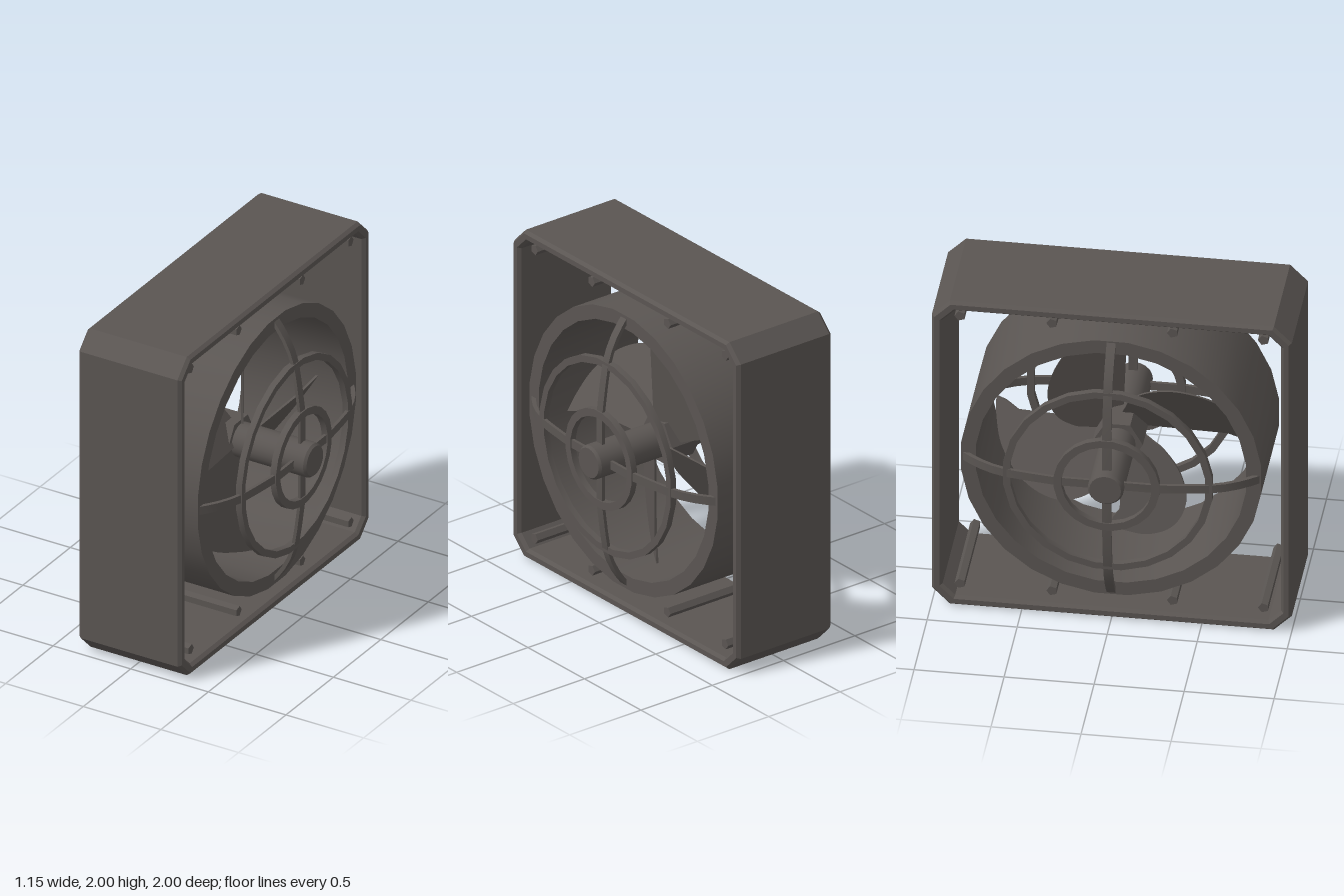
import * as THREE from 'three';
import { toCreasedNormals } from 'three/addons/utils/BufferGeometryUtils.js';

const metal = new THREE.MeshStandardMaterial({ color: 0x5a5552 });
metal.name = 'dark grey metal';

function part(name, geometry, parent) {
  const mesh = new THREE.Mesh(toCreasedNormals(geometry, 0.5), metal);
  mesh.name = name;
  parent.add(mesh);
  return mesh;
}

const points = (list) => list.map(([a, b]) => new THREE.Vector2(a, b));

// Square outline with cut corners
function cutSquare(half, cut) {
  const s = half - cut;
  return points([[s, -half], [half, -s], [half, s], [s, half], [-s, half], [-half, s], [-half, -s], [-s, -half]]);
}

// Ring of rectangular section around the fan axis (local z)
function ringGeometry(inner, outer, z0, z1, segments) {
  const profile = points([[outer, z0], [outer, z1], [inner, z1], [inner, z0], [outer, z0]]);
  return new THREE.LatheGeometry(profile, segments, Math.PI / segments).rotateX(Math.PI / 2);
}

// Arched guard bar across the full diameter
function barGeometry() {
  const half = [[0.83, 0.33], [0.78, 0.37], [0.72, 0.41], [0.65, 0.445], [0.575, 0.47], [0.45, 0.49], [0.28, 0.512]];
  const outer = [...half, ...half.map(([r, z]) => [-r, z]).reverse()];
  const inner = outer.map(([r, z]) => [r * 0.98, z - 0.018]).reverse();
  const shape = new THREE.Shape(points([...outer, ...inner]));
  return new THREE.ExtrudeGeometry(shape, { depth: 0.05, bevelEnabled: false })
    .translate(0, 0, -0.025).rotateX(Math.PI / 2);
}

// Pitched sickle-shaped fan blade
function bladeGeometry() {
  const shape = new THREE.Shape();
  shape.moveTo(0, 0.05);
  shape.lineTo(0.1, 0);
  shape.splineThru(points([[0.18, 0.03], [0.25, 0.06], [0.34, 0.15], [0.385, 0.29], [0.36, 0.43],
    [0.28, 0.56], [0.15, 0.66], [0.02, 0.7], [-0.08, 0.71]]));
  shape.lineTo(-0.06, 0.65);
  shape.lineTo(-0.02, 0.58);
  const geometry = new THREE.ExtrudeGeometry(shape, { depth: 0.015, bevelEnabled: false, curveSegments: 24 });
  const p = geometry.attributes.position;
  for (let i = 0; i < p.count; i++) p.setZ(i, p.getZ(i) + 0.1 - 0.6 * p.getX(i));
  return geometry;
}

export function createModel() {
  const model = new THREE.Group();
  model.name = 'boxFan';

  // Built facing local z, then turned so the axis runs along x
  const fan = new THREE.Group();
  fan.name = 'fanAssembly';
  fan.position.y = 1;
  fan.rotation.y = Math.PI / 2;
  model.add(fan);

  // Open box frame
  const frame = new THREE.Shape(cutSquare(1, 0.1));
  frame.holes.push(new THREE.Path(cutSquare(0.94, 0.07).reverse()));
  part('frame', new THREE.ExtrudeGeometry(frame, {
    depth: 0.62, bevelThickness: 0.02, bevelSize: 0.015, bevelOffset: -0.015, bevelSegments: 1,
  }).translate(0, 0, -0.32), fan);

  // Air duct
  part('duct', ringGeometry(0.755, 0.838, -0.348, 0.33, 28), fan);

  // Guards on both faces
  for (const side of [1, -1]) {
    const guard = new THREE.Group();
    guard.name = side > 0 ? 'leftGuard' : 'rightGuard';
    guard.position.z = -0.013;
    if (side < 0) guard.rotation.y = Math.PI;
    fan.add(guard);
    part('horizontalBar', barGeometry(), guard);
    part('verticalBar', barGeometry().rotateZ(Math.PI / 2), guard);
    part('outerGuardRing', ringGeometry(0.545, 0.585, 0.435, 0.472, 24), guard);
    part('innerGuardRing', ringGeometry(0.25, 0.295, 0.48, 0.518, 24), guard);
  }

  // Shaft with chamfered ends and hexagonal hub
  const shaft = points([[0, -0.575], [0.088, -0.575], [0.1, -0.56], [0.1, 0.56], [0.088, 0.575], [0, 0.575]]);
  part('shaft', new THREE.LatheGeometry(shaft, 20).rotateX(Math.PI / 2), fan);
  part('hub', new THREE.CylinderGeometry(0.14, 0.14, 0.2, 6).rotateX(Math.PI / 2).rotateZ(Math.PI / 2), fan);

  // Four blades
  for (let i = 0; i < 4; i++) {
    part('blade', bladeGeometry(), fan).rotation.z = i * Math.PI / 2;
  }

  // Rods along the top and bottom of the frame
  for (const y of [0.895, -0.87]) {
    for (const x of [-0.84, -0.335, 0.335, 0.845]) {
      part('rod', new THREE.CylinderGeometry(0.031, 0.031, 0.6, 5)
        .rotateX(Math.PI / 2).rotateZ(Math.PI / 2).translate(x, y, -0.01), fan);
    }
  }
  return model;
}
